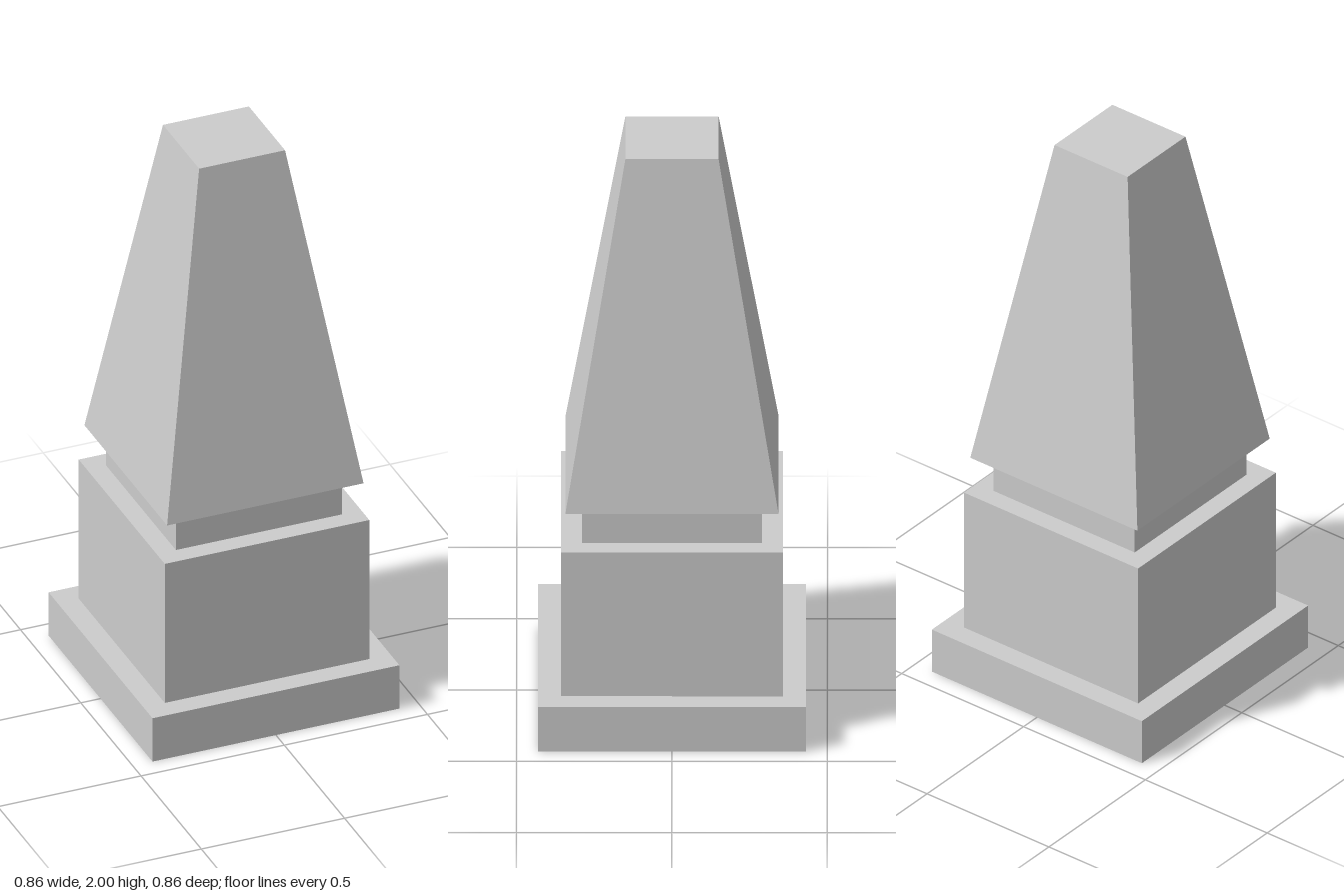
import * as THREE from 'three';

const material = new THREE.MeshStandardMaterial({ color: 0xcccccc, flatShading: true });

// Square block from y0 to y1, tapering from half-width `bottom` to `top`
function squareBlock(name, y0, y1, bottom, top = bottom) {
  const geometry = new THREE.BoxGeometry(2, y1 - y0, 2);
  const pos = geometry.attributes.position;
  for (let i = 0; i < pos.count; i++) {
    const half = pos.getY(i) > 0 ? top : bottom;
    pos.setX(i, pos.getX(i) * half);
    pos.setZ(i, pos.getZ(i) * half);
  }
  geometry.translate(0, (y0 + y1) / 2, 0);
  geometry.computeVertexNormals();
  const mesh = new THREE.Mesh(geometry, material);
  mesh.name = name;
  return mesh;
}

export function createModel() {
  const group = new THREE.Group();
  group.name = 'obelisk';
  group.add(
    squareBlock('plinth', 0, 0.162, 0.431),
    squareBlock('pedestal', 0.162, 0.682, 0.357),
    squareBlock('neck', 0.682, 0.815, 0.29),
    squareBlock('taperedShaft', 0.815, 2, 0.343, 0.15), // flat-topped
  );
  return group;
}
